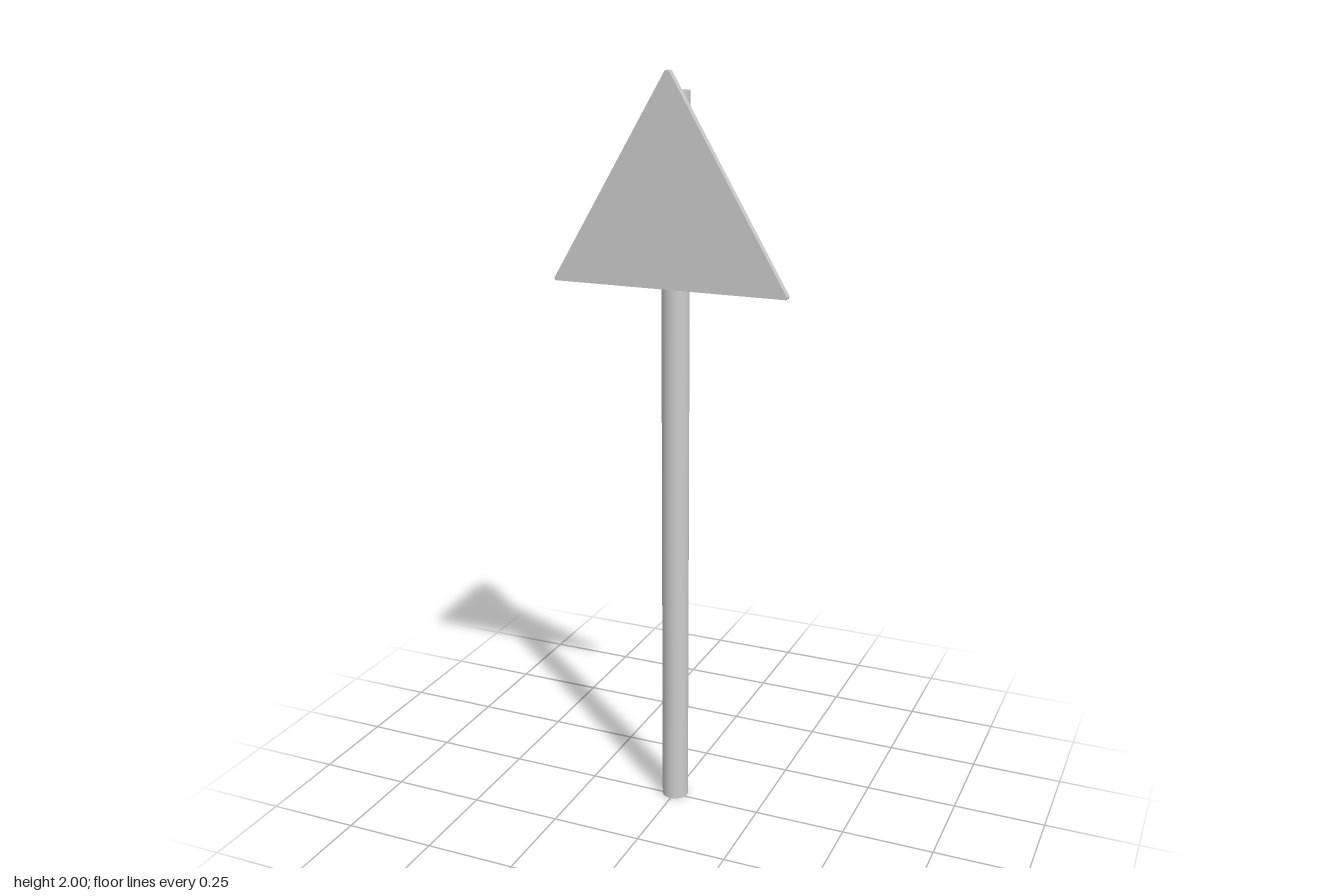
import * as THREE from 'three';

export function createModel() {
  const group = new THREE.Group();
  const material = new THREE.MeshStandardMaterial({ color: 0xcccccc });

  // Round post standing on the ground
  const postHeight = 1.95;
  const post = new THREE.Mesh(new THREE.CylinderGeometry(0.036, 0.036, postHeight, 32), material);
  post.name = 'post';
  post.position.set(0, postHeight / 2, -0.011);
  group.add(post);

  // Triangular plate with slightly blunted corners, fixed to the front of the post
  const outline = new THREE.Shape([
    [-0.315, 1.465], [0.315, 1.465], [0.318, 1.471],
    [0.006, 1.998], [0.003, 2], [-0.003, 2], [-0.006, 1.998], [-0.318, 1.471],
  ].map(([x, y]) => new THREE.Vector2(x, y)));
  const plate = new THREE.Mesh(
    new THREE.ExtrudeGeometry(outline, { depth: 0.02, bevelEnabled: false }),
    material,
  );
  plate.name = 'signPlate';
  plate.position.z = 0.024;
  group.add(plate);

  return group;
}
